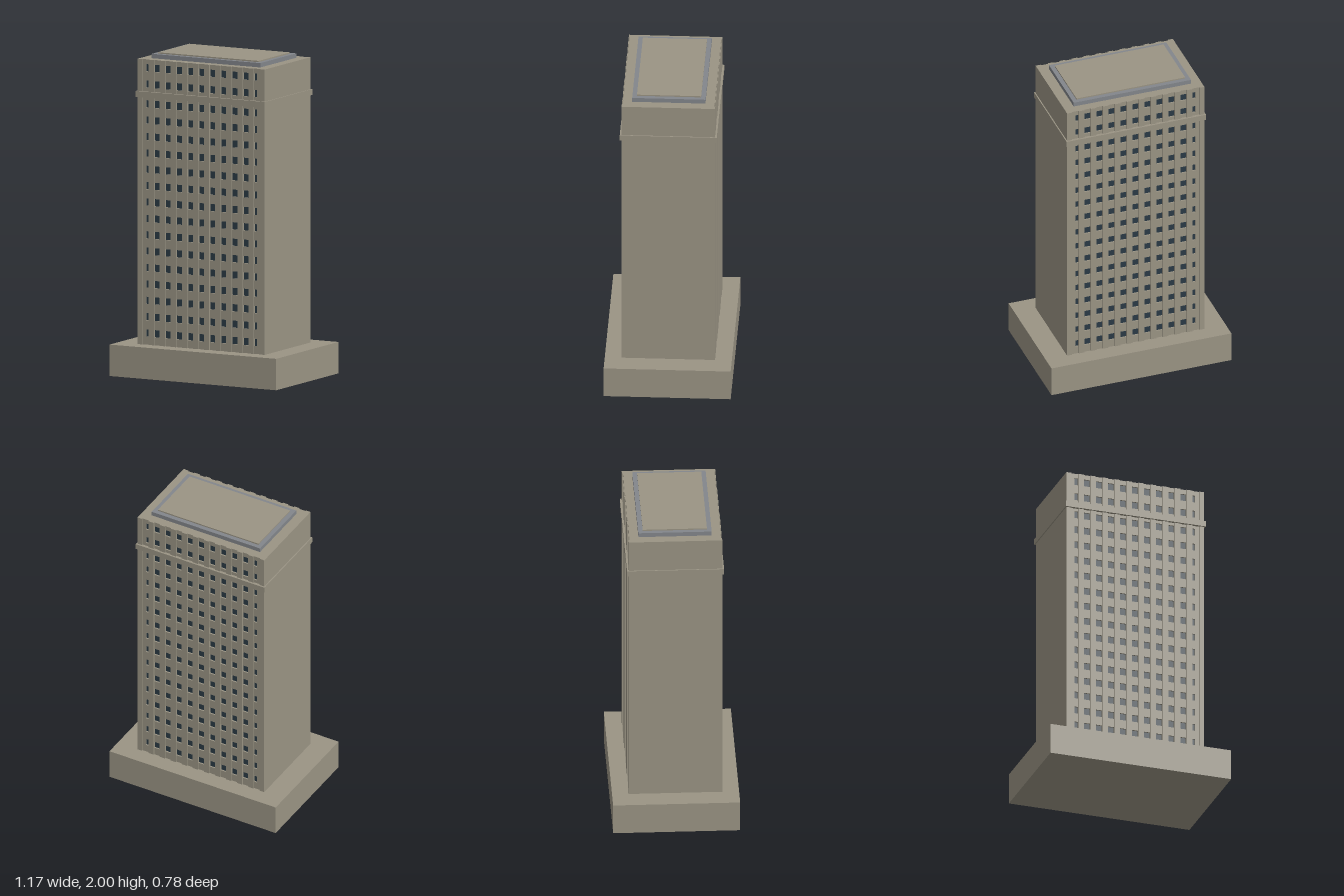
import * as THREE from 'three';

const stone = new THREE.MeshStandardMaterial({ color: 0x9a9484 });
const slate = new THREE.MeshStandardMaterial({ color: 0x83868b });
const glass = new THREE.MeshStandardMaterial({ color: 0x2a3a45 });

// Box given by its full width and depth, its bottom and top, and its centre in x and z
function block(parent, name, material, w, d, y0, y1, x = 0, z = 0) {
  const mesh = new THREE.Mesh(new THREE.BoxGeometry(w, y1 - y0, d), material);
  mesh.position.set(x, (y0 + y1) / 2, z);
  mesh.name = name;
  parent.add(mesh);
  return mesh;
}

const BASE = 0.195, ROOF = 1.965;
const HALF_W = 0.447, PIER_Z = 0.287, WALL_Z = 0.28, GLASS_Z = 0.271;
const BAY = 0.078, WINDOW_H = 0.045;

// Window sill heights: fifteen floors below the band, two above it
function windowSills() {
  const sills = [];
  for (let i = 0; i < 15; i++) sills.push(0.244 + i * 0.1016);
  sills.push(1.788, 1.89);
  return sills;
}

// One long side: spandrels between the windows, with piers standing proud
function buildFacade() {
  const facade = new THREE.Group();
  const depth = WALL_Z - GLASS_Z + 0.02;
  const z = WALL_Z - depth / 2;
  let bottom = BASE;
  for (const sill of windowSills()) {
    block(facade, 'spandrel', stone, 0.84, depth, bottom, sill, 0, z);
    bottom = sill + WINDOW_H;
  }
  block(facade, 'parapet', stone, 0.84, depth, bottom, ROOF, 0, z);

  const pierDepth = PIER_Z - GLASS_Z + 0.02;
  for (let i = -4.5; i <= 4.5; i++) {
    block(facade, 'pier', stone, 0.037, pierDepth, BASE, ROOF, i * BAY, PIER_Z - pierDepth / 2);
  }
  // Plain strips beside the last narrow windows
  for (const s of [-1, 1]) {
    block(facade, 'edgeStrip', stone, 0.027, depth, BASE, ROOF, s * 0.4045, z);
  }
  return facade;
}

export function createModel() {
  const model = new THREE.Group();
  model.name = 'officeTower';

  block(model, 'podium', stone, 1.172, 0.78, 0, BASE);
  block(model, 'glassCore', glass, 0.84, GLASS_Z * 2, BASE, ROOF - 0.01);
  block(model, 'roofDeck', stone, 0.84, GLASS_Z * 2, ROOF - 0.01, ROOF);

  // Blank end walls, which also form the corner piers
  for (const s of [-1, 1]) {
    block(model, 'endWall', stone, 0.032, PIER_Z * 2, BASE, ROOF, s * (HALF_W - 0.016));
  }

  const front = buildFacade();
  front.name = 'frontFacade';
  const back = buildFacade();
  back.name = 'backFacade';
  back.rotation.y = Math.PI;
  model.add(front, back);

  // Projecting band around the tower
  block(model, 'bandCourse', stone, 0.908, 0.596, 1.73, 1.766);

  // Stepped roof cap
  block(model, 'roofCap', slate, 0.764, 0.45, ROOF, 1.992);
  block(model, 'roofPanel', stone, 0.708, 0.394, 1.992, 2);

  return model;
}
